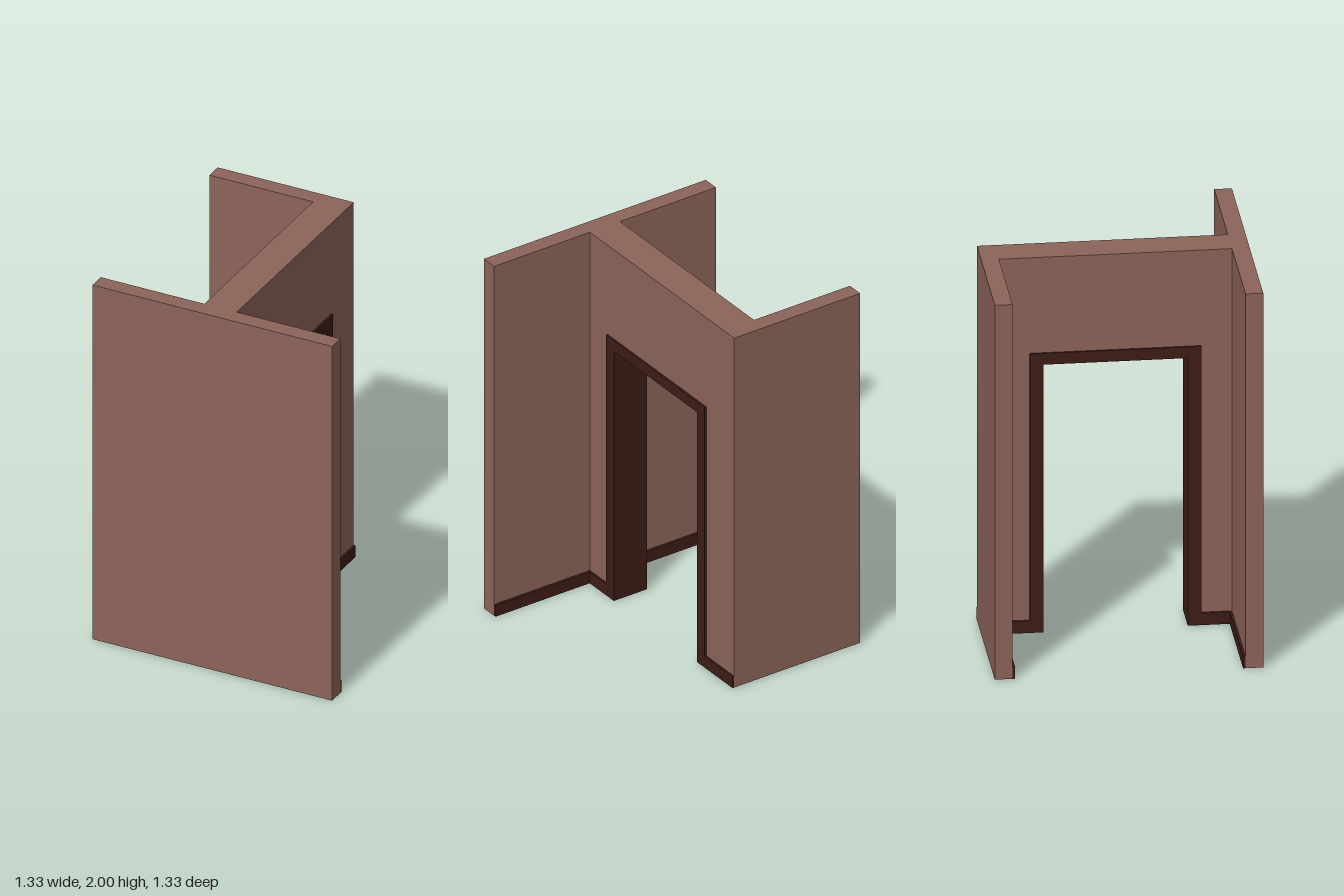
import * as THREE from 'three';

const wallMat = new THREE.MeshStandardMaterial({ color: 0x8c6459 });
const trimMat = new THREE.MeshStandardMaterial({ color: 0x3d1c17 });

const X = 0.665, Z = 0.665, H = 2;   // outer extents
const T = 0.09;                      // half thickness of the middle wall
const P = 0.1;                       // half thickness including trim
const IN = 0.577;                    // inner faces of front and back walls
const BASE = 0.065;                  // baseboard height

export function createModel() {
  const group = new THREE.Group();

  const box = (name, mat, [x0, x1], [y0, y1], [z0, z1]) => {
    const mesh = new THREE.Mesh(new THREE.BoxGeometry(x1 - x0, y1 - y0, z1 - z0), mat);
    mesh.position.set((x0 + x1) / 2, (y0 + y1) / 2, (z0 + z1) / 2);
    mesh.name = name;
    group.add(mesh);
  };

  // Arch-shaped panel in the z-y plane, centred on x = 0
  const arch = (name, mat, outZ, outY, inZ, inY, halfDepth) => {
    const shape = new THREE.Shape([
      [-outZ, 0], [-inZ, 0], [-inZ, inY], [inZ, inY],
      [inZ, 0], [outZ, 0], [outZ, outY], [-outZ, outY],
    ].map(([a, b]) => new THREE.Vector2(a, b)));
    const geo = new THREE.ExtrudeGeometry(shape, { depth: halfDepth * 2, bevelEnabled: false });
    geo.translate(0, 0, -halfDepth).rotateY(-Math.PI / 2);
    const mesh = new THREE.Mesh(geo, mat);
    mesh.name = name;
    group.add(mesh);
  };

  // Walls
  box('frontWall', wallMat, [-X, X], [0, H], [IN, Z]);
  box('backWall', wallMat, [-X, T], [0, H], [-Z, -IN]);
  arch('middleWall', wallMat, IN, H, 0.425, 1.49, T);

  // Door frame lining the opening
  arch('doorFrame', trimMat, 0.425, 1.49, 0.357, 1.43, P);

  // Baseboards beside the doorway
  const b = [0, BASE];
  box('middleBaseboardRight', trimMat, [-P, -T], b, [0.425, IN]);
  box('middleBaseboardRight', trimMat, [-P, -T], b, [-IN, -0.425]);
  box('middleBaseboardLeft', trimMat, [T, P], b, [0.425, IN]);
  box('middleBaseboardLeft', trimMat, [T, P], b, [-Z, -0.425]);

  // Baseboards along the front and back walls
  box('frontBaseboardRight', trimMat, [-X, -P], b, [IN - 0.012, IN]);
  box('frontBaseboardLeft', trimMat, [P, X], b, [IN - 0.012, IN]);
  box('backBaseboard', trimMat, [-X, -P], b, [-IN, -IN + 0.012]);

  return group;
}
